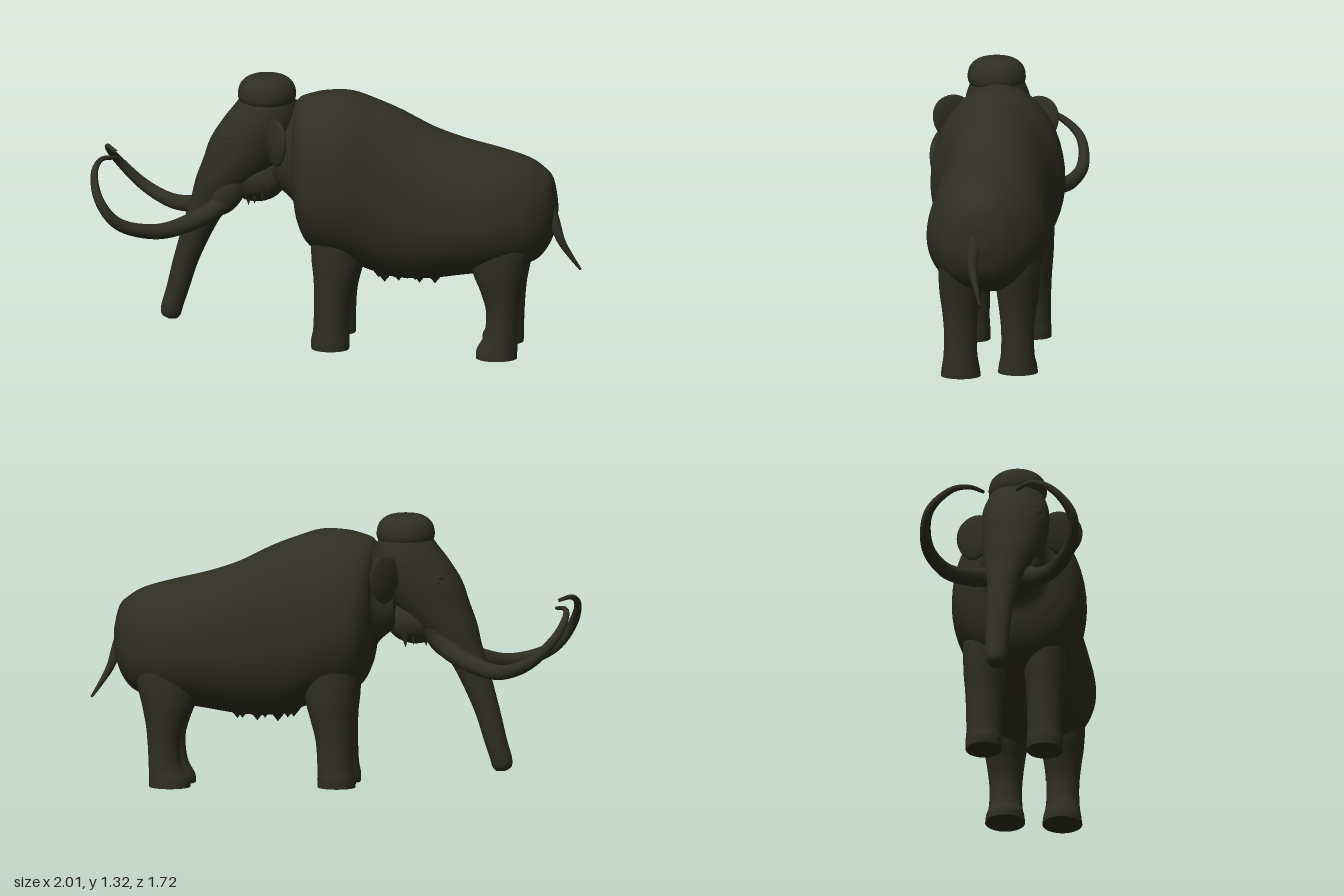
import * as THREE from 'three';

const hide = new THREE.MeshStandardMaterial({ color: 0x2f2e22 });
hide.name = 'dark hide';

// Smoothly resample a table of cross-section rows
function smoothRows(rows, steps) {
  const out = [];
  const last = rows.length - 1;
  for (let i = 0; i < last; i++) {
    const [a, b, c, d] = [rows[Math.max(i - 1, 0)], rows[i], rows[i + 1], rows[Math.min(i + 2, last)]];
    for (let k = 0; k < steps; k++) {
      const t = k / steps;
      out.push(b.map((_, n) => 0.5 * (2 * b[n] + (c[n] - a[n]) * t
        + (2 * a[n] - 5 * b[n] + 4 * c[n] - d[n]) * t * t
        + (3 * b[n] - a[n] - 3 * c[n] + d[n]) * t * t * t)));
    }
  }
  out.push(rows[last]);
  return out;
}

// Closed skin through rings; pointAt(row, angle) gives one corner
function loft(table, pointAt, segs = 36, steps = 4) {
  const rows = smoothRows(table, steps);
  const pos = [], idx = [];
  const ring = (row) => {
    for (let j = 0; j < segs; j++) pos.push(...pointAt(row, (j / segs) * Math.PI * 2));
  };
  rows.forEach(ring);
  for (let i = 0; i < rows.length - 1; i++) {
    for (let j = 0; j < segs; j++) {
      const a = i * segs + j, b = i * segs + (j + 1) % segs;
      idx.push(a, b, a + segs, b, b + segs, a + segs);
    }
  }
  [rows[0], rows[rows.length - 1]].forEach((row, end) => {
    const base = pos.length / 3;
    ring(row);
    const p = pointAt(row, 0), q = pointAt(row, Math.PI);
    pos.push(...p.map((v, n) => (v + q[n]) / 2));
    for (let j = 0; j < segs; j++) {
      const a = base + j, b = base + (j + 1) % segs;
      idx.push(base + segs, ...(end ? [a, b] : [b, a]));
    }
  });
  const g = new THREE.BufferGeometry();
  g.setAttribute('position', new THREE.Float32BufferAttribute(pos, 3));
  g.setIndex(idx);
  g.computeVertexNormals();
  return g;
}

// Upright stack of ovals: rows are [y, z, radiusZ, radiusX, x]
const column = (rows) => loft(rows, ([y, z, rz, rx, x], a) => [x + rx * Math.sin(a), y, z + rz * Math.cos(a)], 28);

// Tube that thins along its length
function taperedTube(points, r0, r1, power = 1) {
  const curve = new THREE.CatmullRomCurve3(points.map((p) => new THREE.Vector3(...p)));
  const n = 48, m = 14;
  const g = new THREE.TubeGeometry(curve, n, 1, m);
  const pos = g.attributes.position, v = new THREE.Vector3();
  for (let i = 0; i <= n; i++) {
    const c = curve.getPointAt(i / n), r = r0 + (r1 - r0) * Math.pow(i / n, power);
    for (let j = 0; j <= m; j++) {
      const k = i * (m + 1) + j;
      v.fromBufferAttribute(pos, k).sub(c).multiplyScalar(r).add(c);
      pos.setXYZ(k, v.x, v.y, v.z);
    }
  }
  return g;
}

// Tusk centre lines, root to tip; the two differ a little
const leftTuskPath = [
  [0.06, 0.76, 0.4], [0.085, 0.68, 0.47], [0.15, 0.61, 0.606], [0.24, 0.59, 0.738],
  [0.335, 0.645, 0.905], [0.343, 0.75, 0.99], [0.25, 0.865, 1.03], [0.153, 0.912, 1.01], [0.077, 0.903, 0.955],
];
const rightTuskPath = [
  [-0.07, 0.76, 0.39], [-0.115, 0.69, 0.46], [-0.2, 0.632, 0.586], [-0.297, 0.612, 0.735],
  [-0.358, 0.67, 0.88], [-0.335, 0.79, 1.0], [-0.224, 0.88, 1.035], [-0.14, 0.9, 1.015], [-0.077, 0.892, 0.97],
];

export function createModel() {
  const model = new THREE.Group();
  model.name = 'woollyElephant';
  const animal = new THREE.Group();
  animal.name = 'animal';
  // The animal stands diagonally, facing right of front
  animal.rotation.y = -0.913;
  animal.position.z = -0.065;
  model.add(animal);
  const head = new THREE.Group();
  head.name = 'headGroup';
  head.position.x = 0.027;
  animal.add(head);

  const add = (parent, name, geometry, x = 0, y = 0, z = 0) => {
    const m = new THREE.Mesh(geometry, hide);
    m.name = name;
    m.position.set(x, y, z);
    parent.add(m);
    return m;
  };
  const ball = (parent, name, x, y, z, rx, ry, rz) => {
    const m = add(parent, name, new THREE.SphereGeometry(1, 24, 16), x, y, z);
    m.scale.set(rx, ry, rz);
    return m;
  };

  // Body with a flat chest and narrow neck: rows are [z, bottom, top, half width]
  add(animal, 'body', loft([
    [-1.145, 0.66, 0.76, 0.03], [-1.12, 0.56, 0.86, 0.11], [-1.07, 0.48, 0.91, 0.175],
    [-1.0, 0.44, 0.95, 0.23], [-0.86, 0.405, 0.99, 0.285], [-0.7, 0.38, 1.03, 0.287],
    [-0.55, 0.357, 1.082, 0.277], [-0.4, 0.352, 1.157, 0.272], [-0.28, 0.38, 1.205, 0.288],
    [-0.16, 0.425, 1.242, 0.318], [-0.04, 0.455, 1.24, 0.312], [0.04, 0.51, 1.222, 0.285],
    [0.085, 0.6, 1.205, 0.225], [0.11, 0.7, 1.18, 0.165], [0.2, 0.78, 1.1, 0.13],
  ], ([z, lo, hi, w], a) => {
    const s = Math.sin(a), c = Math.cos(a), mid = lo + (hi - lo) * 0.44;
    const side = s < 0 ? Math.sign(c) * Math.pow(Math.abs(c), 0.87) : c;
    return [w * side, mid + s * (s > 0 ? hi - mid : mid - lo), z];
  }, 48));

  // Head flowing down into the trunk, which hangs slightly to one side
  add(head, 'headAndTrunk', column([
    [0.105, 0.7, 0.025, 0.025, -0.046], [0.125, 0.706, 0.046, 0.044, -0.046], [0.17, 0.7, 0.053, 0.052, -0.046],
    [0.25, 0.675, 0.055, 0.055, -0.046], [0.4, 0.632, 0.062, 0.061, -0.042], [0.6, 0.555, 0.084, 0.078, -0.03],
    [0.7, 0.495, 0.112, 0.102, -0.018], [0.8, 0.43, 0.152, 0.13, -0.006], [0.9, 0.365, 0.18, 0.15, 0],
    [1.0, 0.32, 0.19, 0.16, 0], [1.1, 0.272, 0.175, 0.157, 0], [1.18, 0.245, 0.14, 0.135, 0],
    [1.25, 0.24, 0.1, 0.1, 0],
  ]));
  add(head, 'headDome', new THREE.LatheGeometry(new THREE.SplineCurve([
    [0.09, 1.15], [0.128, 1.19], [0.138, 1.23], [0.122, 1.28], [0.075, 1.312], [0, 1.32],
  ].map((p) => new THREE.Vector2(...p))).getPoints(24), 36), 0.005, 0, 0.24);
  ball(head, 'jaw', 0, 0.81, 0.29, 0.115, 0.11, 0.14);

  // Ragged chin hair
  for (let i = 0; i < 9; i++) {
    const a = (i / 8 - 0.5) * Math.PI;
    const tuft = add(head, 'chinTuft', new THREE.ConeGeometry(0.026, 0.08, 8),
      0.085 * Math.sin(a), 0.73 + 0.012 * (i % 3), 0.25 + 0.1 * Math.cos(a));
    tuft.rotation.x = Math.PI;
  }

  add(head, 'leftTusk', taperedTube(leftTuskPath, 0.05, 0.008, 1.2));
  add(head, 'rightTusk', taperedTube(rightTuskPath, 0.05, 0.008, 1.2));

  for (const side of [1, -1]) {
    const sideName = side > 0 ? 'left' : 'right';
    // Cheek around the tusk root
    const cheek = ball(head, sideName + 'Cheek', side * 0.066, 0.76, 0.415, 0.062, 0.13, 0.075);
    cheek.rotation.x = -0.5;

    // Ear standing out and back, narrowing to the lobe
    const earShape = new THREE.SphereGeometry(1, 28, 20);
    const p = earShape.attributes.position;
    for (let i = 0; i < p.count; i++) {
      const y = p.getY(i);
      p.setX(i, p.getX(i) * (1 + 0.15 * y) - side * 0.06 * (1 - y));
    }
    earShape.computeVertexNormals();
    const ear = add(head, sideName + 'Ear', earShape, side * 0.213, 1.032, 0.162);
    ear.scale.set(0.105, 0.115, 0.024);
    ear.rotation.y = side * 0.55;

    // Eye and brow, nearly flush with the face
    ball(head, sideName + 'Eye', side * 0.134, 1.01, 0.4, 0.012, 0.011, 0.014);
    ball(head, sideName + 'Brow', side * 0.104, 1.03, 0.385, 0.035, 0.03, 0.055);
  }

  // Legs: rows are [y, z offset, radiusZ, radiusX, x offset]
  const frontLeg = (floor) => column([
    [floor, 0.005, 0.09, 0.086, 0], [floor + 0.04, 0.005, 0.092, 0.088, 0], [0.12, 0, 0.086, 0.084, 0],
    [0.25, -0.006, 0.088, 0.086, 0], [0.36, -0.018, 0.103, 0.092, 0], [0.46, -0.025, 0.12, 0.1, 0],
    [0.62, -0.025, 0.12, 0.1, 0], [0.85, -0.03, 0.08, 0.07, 0],
  ]);
  const hindLeg = (floor) => column([
    [floor, 0.01, 0.098, 0.095, 0], [floor + 0.04, 0.008, 0.097, 0.09, 0], [0.11, -0.01, 0.08, 0.08, 0],
    [0.22, -0.018, 0.077, 0.078, 0], [0.32, -0.01, 0.095, 0.088, 0], [0.42, 0, 0.125, 0.102, 0],
    [0.56, 0, 0.15, 0.106, 0], [0.75, 0, 0.1, 0.09, 0],
  ]);
  add(animal, 'leftFrontLeg', frontLeg(0.018), 0.126, 0, -0.082);
  add(animal, 'rightFrontLeg', frontLeg(0.032), -0.163, 0, -0.07);
  add(animal, 'leftHindLeg', hindLeg(0), 0.123, 0, -0.882);
  add(animal, 'rightHindLeg', hindLeg(0.018), -0.148, 0, -0.873);

  // Tail
  add(animal, 'tail', taperedTube([
    [0.035, 0.76, -1.09], [0.045, 0.66, -1.135], [0.045, 0.56, -1.17], [0.025, 0.48, -1.215], [0.006, 0.415, -1.257],
  ], 0.036, 0.006));

  // Shaggy belly hair
  for (let i = 0; i < 9; i++) {
    const tuft = add(animal, 'bellyTuft', new THREE.ConeGeometry(0.06, 0.075, 12),
      0.06 * Math.sin(i * 2.4), 0.37 + 0.008 * Math.cos(i * 1.9), -0.29 - i * 0.034);
    tuft.rotation.x = Math.PI;
  }
  return model;
}
